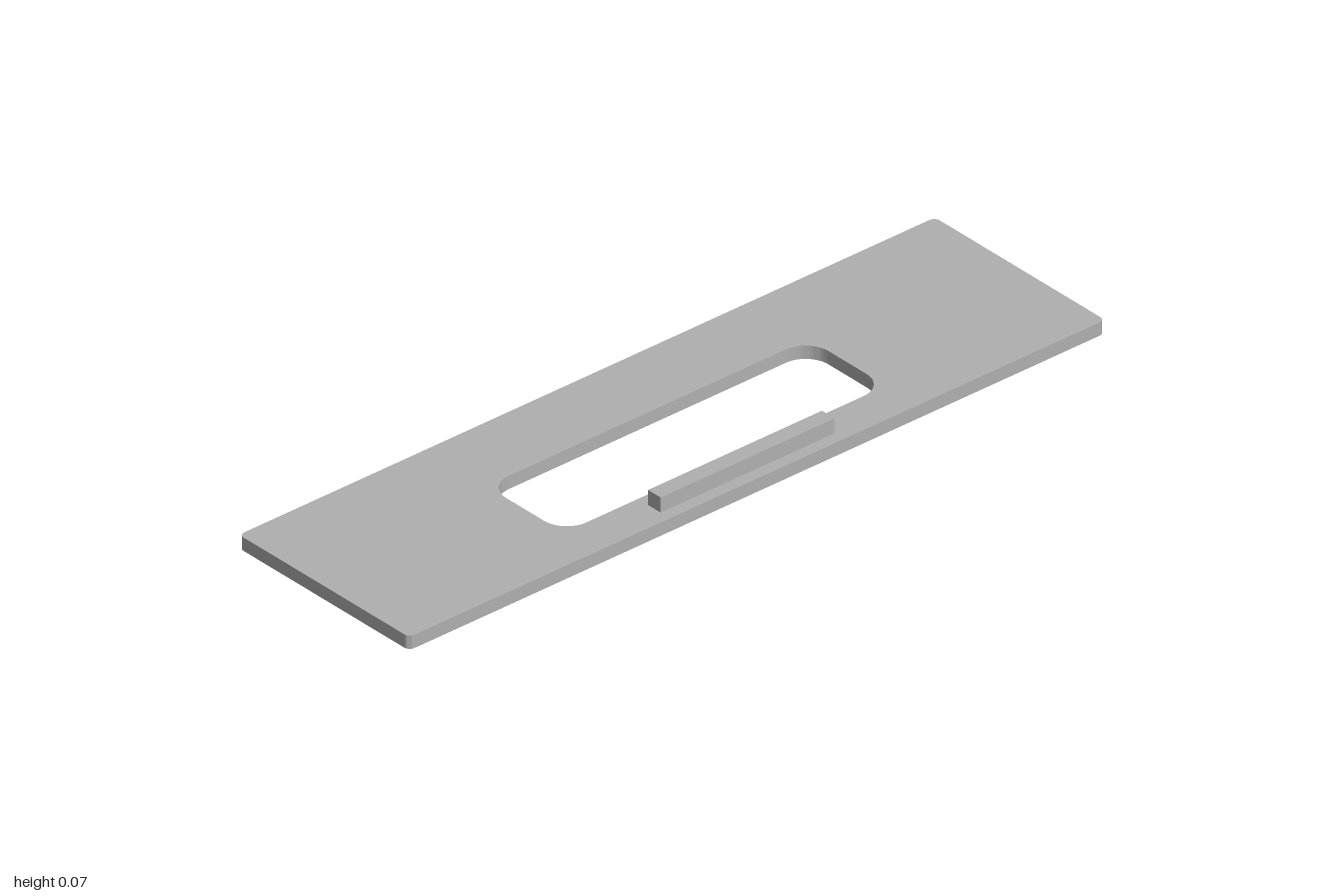
import * as THREE from 'three';
import { toCreasedNormals } from 'three/addons/utils/BufferGeometryUtils.js';

const THICKNESS = 0.034;

// Traces a rounded rectangle between two corners
function roundedRect(path, x0, y0, x1, y1, r) {
  path.moveTo(x0 + r, y0);
  path.lineTo(x1 - r, y0);
  path.absarc(x1 - r, y0 + r, r, -Math.PI / 2, 0);
  path.lineTo(x1, y1 - r);
  path.absarc(x1 - r, y1 - r, r, 0, Math.PI / 2);
  path.lineTo(x0 + r, y1);
  path.absarc(x0 + r, y1 - r, r, Math.PI / 2, Math.PI);
  path.lineTo(x0, y0 + r);
  path.absarc(x0 + r, y0 + r, r, Math.PI, Math.PI * 1.5);
  return path;
}

export function createModel() {
  const model = new THREE.Group();
  model.name = 'slottedPlate';
  const grey = new THREE.MeshStandardMaterial({ color: 0xb0b0b0 });
  grey.name = 'grey';

  // Flat plate with an off-centre rounded slot
  const outline = roundedRect(new THREE.Shape(), -1, -0.281, 1, 0.281, 0.016);
  outline.holes.push(roundedRect(new THREE.Path(), -0.463, -0.081, 0.463, 0.175, 0.065));
  const plateGeometry = new THREE.ExtrudeGeometry(outline, {
    depth: THICKNESS, bevelEnabled: false, curveSegments: 10,
  });
  plateGeometry.rotateX(Math.PI / 2).translate(0, THICKNESS, 0);
  const plate = new THREE.Mesh(toCreasedNormals(plateGeometry, 0.6), grey);
  plate.name = 'plate';
  model.add(plate);

  // Raised bar along the front edge of the slot
  const bar = new THREE.Mesh(new THREE.BoxGeometry(0.5, 0.038, 0.042), grey);
  bar.name = 'gripBar';
  bar.position.set(0, THICKNESS + 0.019, 0.229);
  model.add(bar);

  return model;
}
